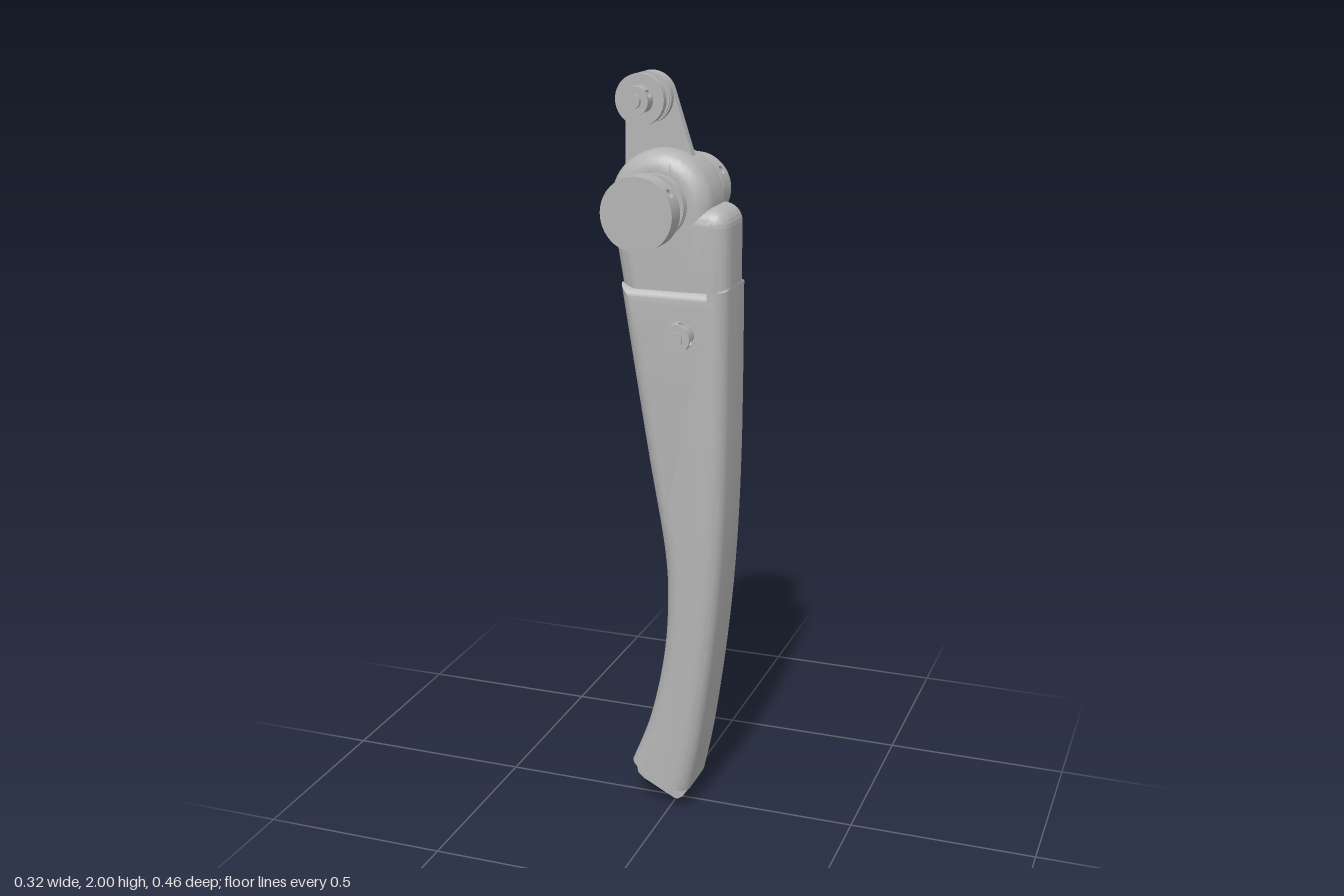
import * as THREE from 'three';
import { mergeGeometries, toCreasedNormals } from 'three/addons/utils/BufferGeometryUtils.js';

const gray = new THREE.MeshStandardMaterial({ color: 0xb4b4b4, side: THREE.DoubleSide });
gray.name = 'metal gray';

const PIVOT = [-0.027, 1.68], TOP_PIN = [-0.071, 1.938], SIDE_PIN = [0.042, 1.357];
const V = (p) => new THREE.Vector2(p[0], p[1]);

function add(parent, name, geometry) {
  const mesh = new THREE.Mesh(geometry, gray);
  mesh.name = name;
  parent.add(mesh);
  return mesh;
}

// Plate of half depth h centred on z = 0, edges rounded inward by b
function slab(shape, h, b = 0) {
  const g = new THREE.ExtrudeGeometry(shape, {
    depth: 2 * (h - b), curveSegments: 32, bevelEnabled: b > 0,
    bevelSize: b, bevelThickness: b, bevelOffset: -b, bevelSegments: 8,
  });
  g.translate(0, 0, b - h);
  return toCreasedNormals(g, 0.6);
}

// Cylinder along z between two depths
function rod(parent, name, [x, y], r, z0, z1) {
  const g = new THREE.CylinderGeometry(r, r, Math.abs(z1 - z0), 48);
  g.rotateX(Math.PI / 2);
  return add(parent, name, g.translate(x, y, (z0 + z1) / 2));
}

// Wrap a flat panel (arc length, z) round the z axis
function wrap(g, r, angle) {
  const p = g.attributes.position, n = g.attributes.normal;
  for (let i = 0; i < p.count; i++) {
    const a = angle + p.getX(i) / r;
    p.setXYZ(i, r * Math.cos(a), r * Math.sin(a), p.getY(i));
    n.setXYZ(i, Math.cos(a), Math.sin(a), 0);
  }
  return g;
}

// Collar along z with blind radial holes at the given angles (ascending degrees)
function drilledCollar(parent, name, [x, y], r, z0, z1, holeR, degrees) {
  const len = Math.abs(z1 - z0), half = 1.3 * holeR, parts = [];
  const angles = degrees.map((d) => d * Math.PI / 180);
  angles.forEach((a, i) => {
    const panel = new THREE.Shape([[-half, -len / 2], [half, -len / 2], [half, len / 2], [-half, len / 2]].map(V));
    panel.holes.push(new THREE.Path().absarc(0, 0, holeR, 0, Math.PI * 2, true));
    parts.push(wrap(new THREE.ShapeGeometry(panel, 12), r, a));

    const next = i + 1 < angles.length ? angles[i + 1] : angles[0] + Math.PI * 2;
    const arc = (next - a) * r - 2 * half;
    parts.push(wrap(new THREE.PlaneGeometry(arc, len, 16, 1), r, (a + next) / 2));

    // hole wall and floor
    const wall = new THREE.CylinderGeometry(holeR, holeR, r * 0.5, 24, 1, true);
    wall.rotateZ(-Math.PI / 2).translate(r * 0.75, 0, 0);
    const p = wall.attributes.position;
    for (let k = 0; k < p.count; k++) {
      if (p.getX(k) > r * 0.75) p.setX(k, Math.sqrt(r * r - p.getY(k) ** 2));
    }
    const floor = new THREE.CircleGeometry(holeR, 24).rotateY(Math.PI / 2).translate(r * 0.5, 0, 0);
    parts.push(wall.rotateZ(a), floor.rotateZ(a));
  });
  parts.push(new THREE.CircleGeometry(r, 64).translate(0, 0, len / 2));
  parts.push(new THREE.CircleGeometry(r, 64).rotateY(Math.PI).translate(0, 0, -len / 2));
  return add(parent, name, mergeGeometries(parts).translate(x, y, (z0 + z1) / 2));
}

export function createModel() {
  const model = new THREE.Group();
  model.name = 'lever arm';

  // Curved lower arm, slightly thicker than the housing above it
  const body = new THREE.Group();
  body.name = 'armBody';
  model.add(body);
  const arm = new THREE.Shape();
  arm.moveTo(0.055, 0.062);
  arm.splineThru([[0.083, 0.2], [0.112, 0.4], [0.134, 0.6], [0.148, 0.8], [0.155, 1.0], [0.157, 1.2], [0.157, 1.475]].map(V));
  arm.lineTo(-0.129, 1.475);
  arm.lineTo(-0.108, 1.34);
  arm.splineThru([[-0.056, 1.02], [-0.012, 0.76], [-0.005, 0.6], [-0.019, 0.44], [-0.056, 0.27], [-0.108, 0.132]].map(V));
  add(body, 'lowerArm', slab(arm, 0.104, 0.045));

  // Round pivot housing
  const housing = new THREE.Shape();
  housing.moveTo(-0.111, 1.36);
  housing.lineTo(0.108, 1.36);
  housing.absarc(PIVOT[0], PIVOT[1], 0.135, 0, Math.PI * 1.05, false);
  add(body, 'pivotHousing', slab(housing, 0.087, 0.048));

  // Shoulder beside the housing
  const shoulder = new THREE.Shape();
  shoulder.moveTo(-0.02, 1.36);
  shoulder.lineTo(0.156, 1.36);
  shoulder.absarc(0.108, 1.629, 0.048, 0, Math.PI / 2, false);
  shoulder.lineTo(-0.02, 1.677);
  add(body, 'shoulder', slab(shoulder, 0.0865, 0.045));

  // Drilled tab at the foot
  const tab = new THREE.Shape([[-0.108, 0.14], [-0.118, 0.095], [-0.112, 0.062], [-0.095, 0.047],
    [-0.005, 0.001], [0.006, 0], [0.02, 0.01], [0.055, 0.064], [0.04, 0.14]].map(V));
  for (const [x, y] of [[-0.085, 0.075], [0.002, 0.037]]) {
    tab.holes.push(new THREE.Path().absarc(x, y, 0.015, 0, Math.PI * 2, true));
  }
  add(model, 'footTab', slab(tab, 0.019));

  // Upper lever plate rising out of the housing
  const lever = new THREE.Shape();
  lever.absarc(TOP_PIN[0], TOP_PIN[1], 0.064, 0.36, Math.PI, false);
  lever.lineTo(-0.137, 1.74);
  lever.lineTo(0.06, 1.74);
  add(model, 'leverPlate', slab(lever, 0.012));

  // Fork pin at the lever's top
  const topPin = new THREE.Group();
  topPin.name = 'topPinAssembly';
  model.add(topPin);
  rod(topPin, 'leverBoss', TOP_PIN, 0.064, -0.012, 0.03);
  rod(topPin, 'bossLip', TOP_PIN, 0.061, 0.03, 0.034);
  rod(topPin, 'washerLip', TOP_PIN, 0.061, 0.059, 0.064);
  rod(topPin, 'outerWasher', TOP_PIN, 0.064, 0.064, 0.085);
  rod(topPin, 'spacer', TOP_PIN, 0.023, 0.034, 0.06);
  rod(topPin, 'pin', TOP_PIN, 0.018, -0.063, 0.133);
  drilledCollar(topPin, 'frontCollar', TOP_PIN, 0.036, 0.085, 0.122, 0.011, [30, 120, 210, 300]);
  drilledCollar(topPin, 'backCollar', TOP_PIN, 0.036, -0.05, -0.012, 0.011, [30, 120, 210, 300]);

  // Main pivot and side pin, mirrored front to back
  for (const s of [1, -1]) {
    const pivot = new THREE.Group();
    pivot.name = s > 0 ? 'frontPivot' : 'backPivot';
    model.add(pivot);
    rod(pivot, 'washerCore', PIVOT, 0.076, s * 0.08, s * 0.112);
    for (let i = 0; i < 3; i++) {
      const z = 0.088 + i * 0.009;
      rod(pivot, 'washer', PIVOT, 0.081, s * z, s * (z + 0.007));
    }
    rod(pivot, 'collar', PIVOT, 0.043, s * 0.11, s * 0.152);
    rod(pivot, 'shaft', PIVOT, 0.037, s * 0.15, s * 0.175);
    drilledCollar(pivot, 'knob', PIVOT, 0.093, s * 0.171, s * 0.232, 0.0125, [34, 154, 274]);

    const side = new THREE.Group();
    side.name = s > 0 ? 'frontSidePin' : 'backSidePin';
    model.add(side);
    const turn = s > 0 ? -20 : 30;
    rod(side, 'pin', SIDE_PIN, 0.019, s * 0.1, s * 0.148);
    drilledCollar(side, 'sideCollar', SIDE_PIN, 0.037, s * 0.1, s * 0.142, 0.011,
      [0, 90, 180, 270].map((d) => d + turn));
  }
  return model;
}
